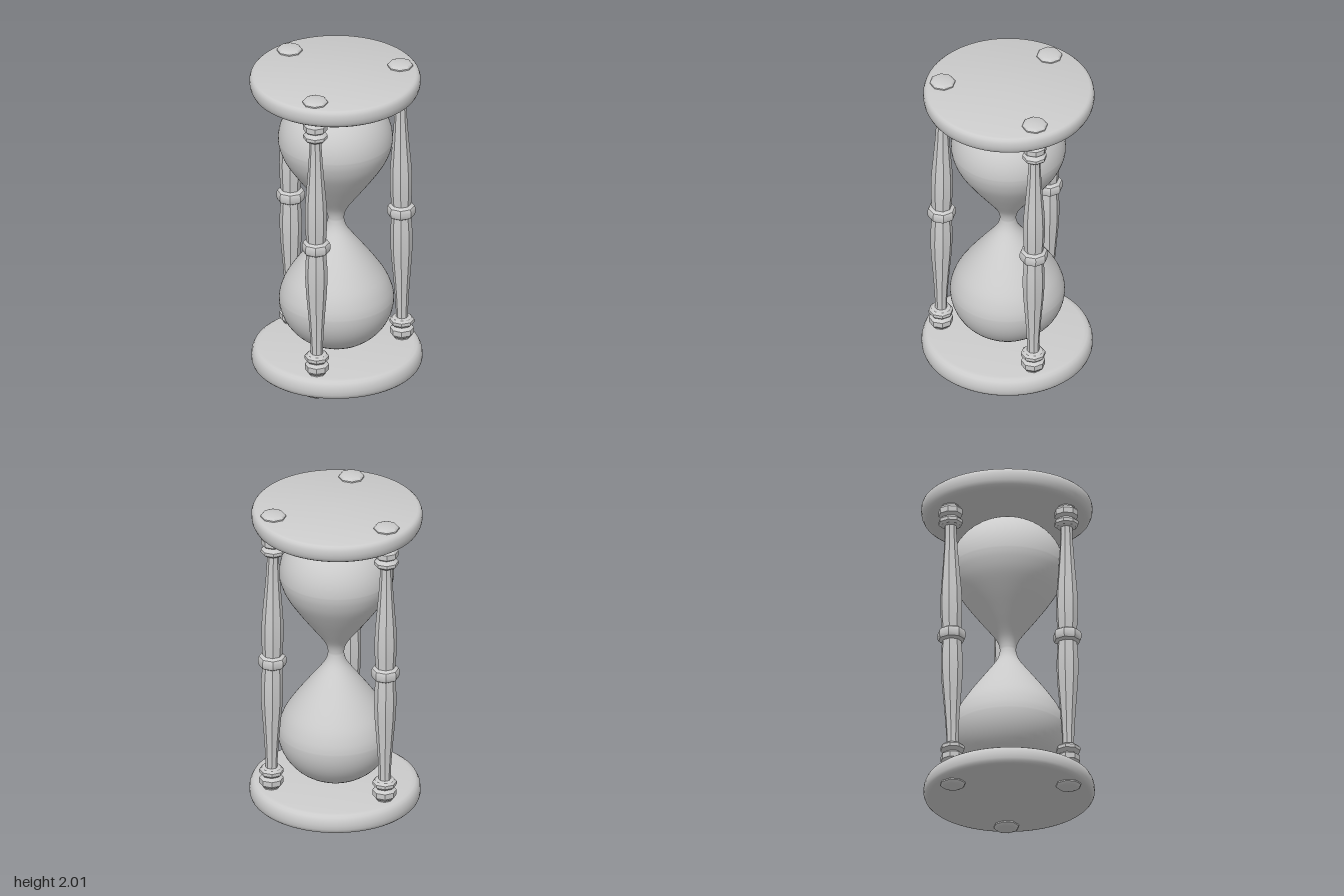
import * as THREE from 'three';
import { toCreasedNormals } from 'three/addons/utils/BufferGeometryUtils.js';

const material = new THREE.MeshStandardMaterial({ color: 0xcccccc });

// Profiles are [radius, height above the waist]; the lower half is the mirror image.
function mirrored(half) {
  const upper = half.map(([r, h]) => new THREE.Vector2(r, h));
  const lower = half.filter(([, h]) => h > 0).reverse().map(([r, h]) => new THREE.Vector2(r, -h));
  return [...lower, ...upper];
}

function addMesh(parent, name, geometry) {
  const mesh = new THREE.Mesh(geometry, material);
  mesh.name = name;
  parent.add(mesh);
  return mesh;
}

export function createModel() {
  const model = new THREE.Group();
  model.name = 'hourglass';

  // The frame leans back very slightly about its waist
  const body = new THREE.Group();
  body.name = 'body';
  body.position.y = 1;
  body.rotation.x = -0.009;
  model.add(body);

  // Round end plates, tapered towards the glass
  const plateProfile = [
    [0, 0.857], [0.462, 0.857], [0.484, 0.861], [0.5, 0.872], [0.511, 0.895],
    [0.515, 0.92], [0.514, 0.945], [0.508, 0.962], [0.498, 0.972], [0.486, 0.976], [0, 0.976],
  ].map(([r, h]) => new THREE.Vector2(r, h));
  const plate = toCreasedNormals(new THREE.LatheGeometry(plateProfile, 64), 0.6);
  addMesh(body, 'topPlate', plate);
  addMesh(body, 'bottomPlate', plate).rotation.x = Math.PI;

  // Glass: narrow neck, flared cone and domed end
  const flare = new THREE.SplineCurve([
    [0.048, 0], [0.056, 0.04], [0.082, 0.09], [0.158, 0.19],
    [0.24, 0.3], [0.305, 0.4], [0.337, 0.48], [0.346, 0.535],
  ].map(([r, h]) => new THREE.Vector2(r, h))).getPoints(28).map((p) => [p.x, Math.max(p.y, 0)]);
  const dome = [];
  for (let i = 1; i <= 16; i++) {
    const a = (i / 16) * Math.PI / 2;
    dome.push([i === 16 ? 0 : 0.346 * Math.cos(a), 0.535 + 0.314 * Math.sin(a)]);
  }
  addMesh(body, 'glass', new THREE.LatheGeometry(mirrored([...flare, ...dome]), 64));

  // Turned eight-sided posts with collars and end caps
  const postProfile = [
    [0.086, 0], [0.086, 0.016], [0.08, 0.03], [0.06, 0.042],
    [0.061, 0.06], [0.066, 0.13], [0.067, 0.22], [0.063, 0.31], [0.053, 0.43],
    [0.043, 0.56], [0.037, 0.67], [0.037, 0.72],
    [0.06, 0.724], [0.074, 0.738], [0.074, 0.758], [0.06, 0.772],
    [0.05, 0.778], [0.06, 0.784], [0.073, 0.794], [0.073, 0.828], [0.062, 0.842],
    [0.05, 0.85], [0.05, 0.96], [0.077, 0.97], [0.077, 0.984], [0.068, 0.995], [0.054, 1], [0, 1],
  ];
  const post = toCreasedNormals(new THREE.LatheGeometry(mirrored(postProfile), 8), 0.6);
  ['backPost', 'rightPost', 'leftPost'].forEach((name, i) => {
    const a = Math.PI + 0.02 + (i * 2 * Math.PI) / 3;
    const mesh = addMesh(body, name, post);
    mesh.position.set(0.402 * Math.sin(a), 0, 0.402 * Math.cos(a));
    mesh.rotation.y = 0.02;
  });

  return model;
}
